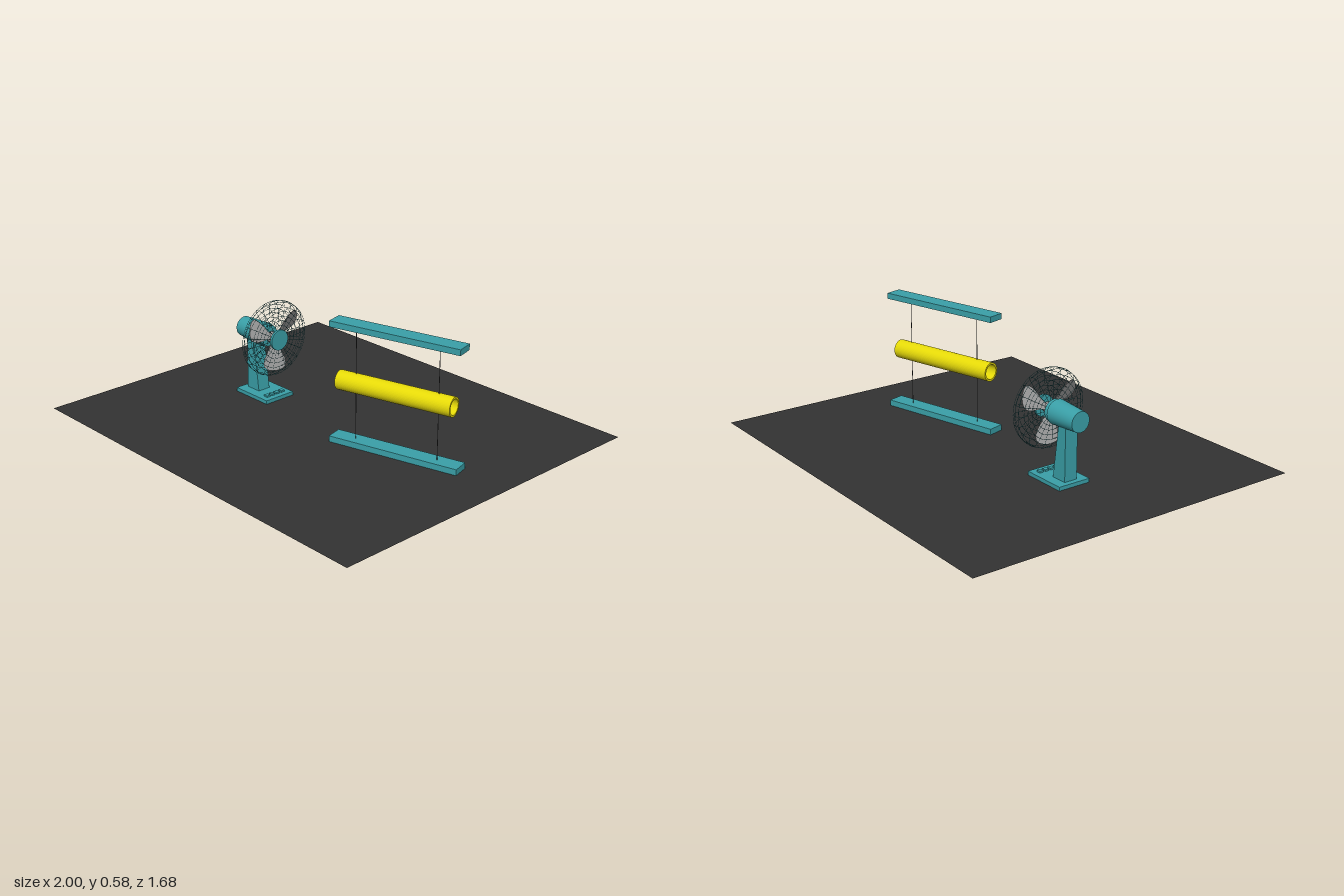
import * as THREE from 'three';

const mat = (color, double) => new THREE.MeshStandardMaterial({
  color, side: double ? THREE.DoubleSide : THREE.FrontSide });
const TEAL = mat(0x3aa0a8), YELLOW = mat(0xe6da08), GROUND = mat(0x333333, true);
const BLADE = mat(0xa8a8a8, true), WIRE = mat(0x2f6f74), STRING = mat(0x444444);

function add(parent, name, geometry, material, x = 0, y = 0, z = 0) {
  const mesh = new THREE.Mesh(geometry, material);
  mesh.name = name;
  mesh.position.set(x, y, z);
  parent.add(mesh);
  return mesh;
}

function group(parent, name, x = 0, y = 0, z = 0) {
  const g = new THREE.Group();
  g.name = name;
  g.position.set(x, y, z);
  parent.add(g);
  return g;
}

// Solid of revolution about the x axis from [x, radius] points; flat-sided profile segments
function turned(points, segments = 32) {
  const out = new THREE.LatheGeometry(
    points.map(([x, r]) => new THREE.Vector2(r, x)), segments);
  return out.rotateZ(-Math.PI / 2);
}

// Hanging tube between two parallel bars
function buildTubeStand(parent) {
  const stand = group(parent, 'tubeStand', 0.447, 0, 0.022);
  stand.rotation.y = Math.PI / 12;
  const bar = new THREE.BoxGeometry(0.637, 0.028, 0.082);
  add(stand, 'lowerBar', bar, TEAL, 0, 0.016, 0);
  add(stand, 'upperBar', bar, TEAL, 0, 0.564, 0);
  for (const s of [-1, 1]) {
    add(stand, 'string', new THREE.CylinderGeometry(0.0015, 0.0015, 0.52, 6), STRING, s * 0.204, 0.29, 0);
  }
  const h = 0.283, ro = 0.045, ri = 0.036;
  const section = new THREE.Shape().absarc(0, 0, ro, 0, Math.PI * 2);
  section.holes.push(new THREE.Path().absarc(0, 0, ri, 0, Math.PI * 2, true));
  const tube = new THREE.ExtrudeGeometry(section, { depth: 2 * h, bevelEnabled: false, curveSegments: 24 });
  tube.translate(0, 0, -h).rotateY(Math.PI / 2);
  add(stand, 'hollowTube', tube, YELLOW, -0.005, 0.296, 0);
}

// Wire guard: spokes and rings following one drum-shaped profile
function buildGuard(fan) {
  const guard = group(fan, 'guard');
  const profile = [[0.032, 0.045], [0.032, 0.155], [0.018, 0.178], [0, 0.182],
    [-0.018, 0.178], [-0.032, 0.155], [-0.032, 0.045]];
  const path = new THREE.CurvePath();
  for (let i = 1; i < profile.length; i++) {
    path.add(new THREE.LineCurve3(new THREE.Vector3(...profile[i - 1], 0), new THREE.Vector3(...profile[i], 0)));
  }
  const spoke = new THREE.TubeGeometry(path, 36, 0.001, 4);
  const count = 24;
  for (let i = 0; i < count; i++) {
    add(guard, 'guardSpoke', spoke, WIRE).rotation.x = i / count * Math.PI * 2;
  }
  const rings = [[0, 0.182], [0.018, 0.178], [-0.018, 0.178]];
  for (const r of [0.07, 0.092, 0.114, 0.136, 0.156]) rings.push([0.032, r], [-0.032, r]);
  for (const [x, r] of rings) {
    add(guard, 'guardRing', new THREE.TorusGeometry(r, 0.001, 4, 48).rotateY(Math.PI / 2), WIRE, x);
  }
}

// Three pitched, rounded blades
function buildBlades(fan) {
  const rotor = group(fan, 'rotor', -0.004);
  const outline = new THREE.Shape();
  outline.moveTo(-0.012, 0.02);
  outline.bezierCurveTo(-0.03, 0.07, -0.065, 0.1, -0.056, 0.145);
  outline.bezierCurveTo(-0.045, 0.175, 0.035, 0.178, 0.05, 0.14);
  outline.bezierCurveTo(0.055, 0.1, 0.025, 0.07, 0.012, 0.02);
  const blade = new THREE.ExtrudeGeometry(outline, { depth: 0.002, bevelEnabled: false, curveSegments: 10 });
  blade.rotateY(Math.PI / 2 + 0.42);
  for (let i = 0; i < 3; i++) {
    add(rotor, 'blade', blade, BLADE).rotation.x = Math.PI + i * Math.PI * 2 / 3;
  }
  add(rotor, 'hub', turned([[-0.02, 0], [-0.02, 0.026], [0.016, 0.024], [0.016, 0]], 24), BLADE);
}

function buildFan(parent) {
  const fan = group(parent, 'fan');
  // Base with raised step and buttons
  add(fan, 'base', new THREE.BoxGeometry(0.22, 0.018, 0.165), TEAL, -0.459, 0.011, 0);
  for (const z of [-0.045, -0.015, 0.015, 0.045]) {
    add(fan, 'button', new THREE.BoxGeometry(0.022, 0.008, 0.02), TEAL, -0.388, 0.024, z);
  }
  // Pedestal with sloping front
  const side = new THREE.Shape([[-0.543, 0.018], [-0.463, 0.018], [-0.495, 0.27], [-0.543, 0.27]]
    .map(p => new THREE.Vector2(...p)));
  add(fan, 'pedestal', new THREE.ExtrudeGeometry(side, { depth: 0.066, bevelEnabled: false }), TEAL, 0, 0, -0.033);

  // Motor housing, shaft and front badge-less cap
  const motor = [[-0.602, 0], [-0.602, 0.048], [-0.602, 0.048], [-0.445, 0.058], [-0.445, 0.058],
    [-0.445, 0.052], [-0.445, 0.052], [-0.422, 0.052], [-0.422, 0.052], [-0.422, 0]];
  add(fan, 'motorHousing', turned(motor), TEAL, 0, 0.308, 0);
  const head = group(fan, 'fanHead', -0.383, 0.308, 0);
  add(head, 'shaft', new THREE.CylinderGeometry(0.008, 0.008, 0.08, 16).rotateZ(Math.PI / 2), BLADE);
  add(head, 'frontDisc', new THREE.CylinderGeometry(0.05, 0.05, 0.012, 32).rotateZ(Math.PI / 2), TEAL, 0.035);
  buildBlades(head);
  buildGuard(head);
}

export function createModel() {
  const model = new THREE.Group();
  model.name = 'fanAndTubeExperiment';
  add(model, 'floor', new THREE.PlaneGeometry(2, 1.685).rotateX(-Math.PI / 2), GROUND);
  buildTubeStand(model);
  buildFan(model);
  return model;
}
